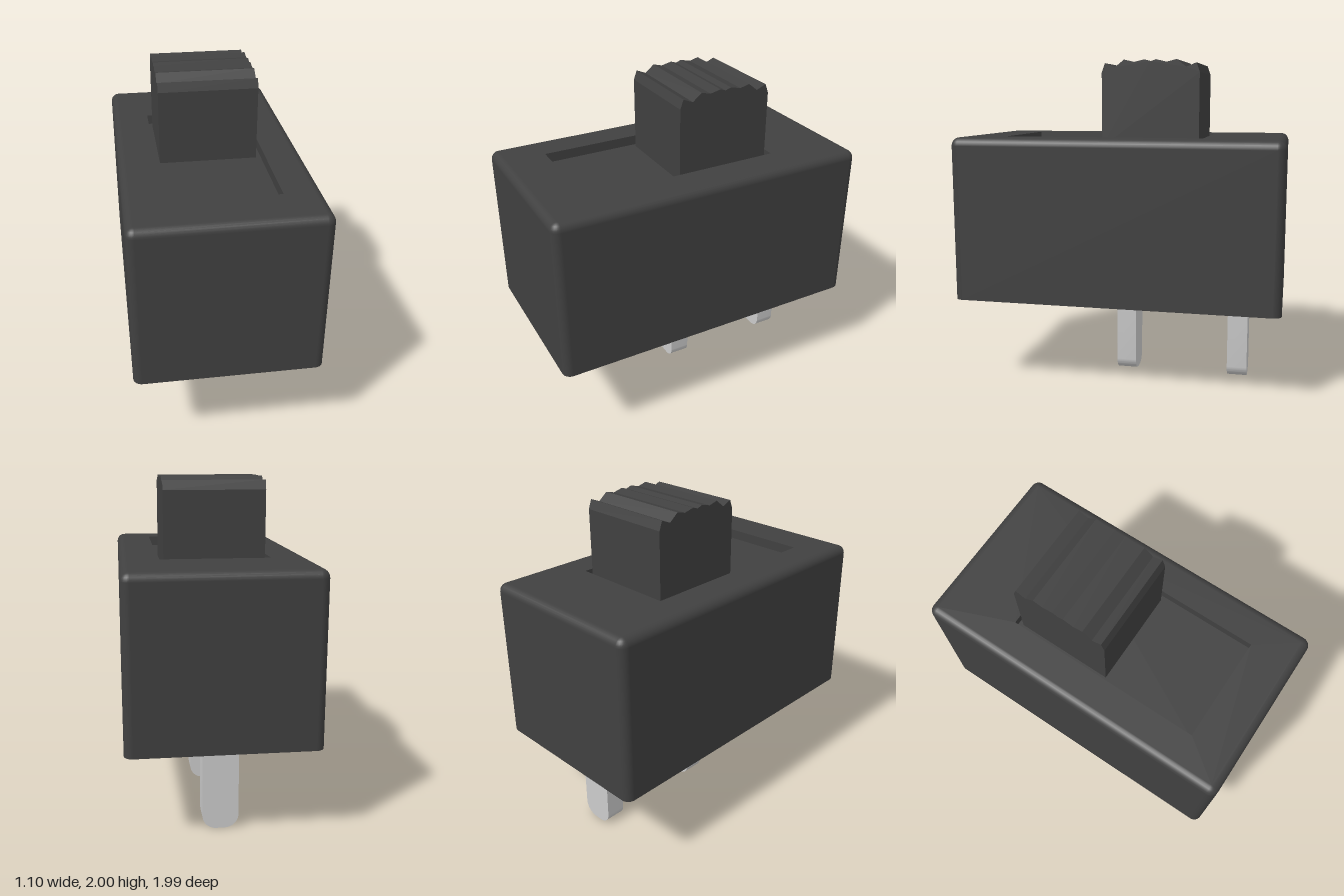
import * as THREE from 'three';
import { toCreasedNormals } from 'three/addons/utils/BufferGeometryUtils.js';

const HX = 0.55, HZ = 0.995, BOTTOM = 0.54, TOP = 1.54, R = 0.05;
const SLOT = { x: 0.325, z0: -0.51, z1: 0.71, depth: 0.06 };

// Side walls with rounded upright corners and a rounded top edge
function shellGeometry() {
  const seg = 6, rings = [[BOTTOM, 0]], pos = [], nor = [], idx = [];
  for (let j = 0; j <= seg; j++) {
    const p = (j / seg) * Math.PI / 2;
    rings.push([TOP - R + R * Math.sin(p), p]);
  }
  const corners = [[1, 1], [-1, 1], [-1, -1], [1, -1]];
  const cols = 4 * (seg + 1);
  for (const [y, p] of rings) {
    corners.forEach(([sx, sz], c) => {
      for (let i = 0; i <= seg; i++) {
        const t = (c + i / seg) * Math.PI / 2;
        const n = [Math.cos(p) * Math.cos(t), Math.sin(p), Math.cos(p) * Math.sin(t)];
        pos.push(sx * (HX - R) + R * n[0], y, sz * (HZ - R) + R * n[2]);
        nor.push(...n);
      }
    });
  }
  for (let j = 0; j < rings.length - 1; j++) {
    for (let i = 0; i < cols; i++) {
      const a = j * cols + i, b = j * cols + (i + 1) % cols;
      idx.push(a, a + cols, b, b, a + cols, b + cols);
    }
  }
  const g = new THREE.BufferGeometry();
  g.setAttribute('position', new THREE.Float32BufferAttribute(pos, 3));
  g.setAttribute('normal', new THREE.Float32BufferAttribute(nor, 3));
  g.setIndex(idx);
  return g;
}

const rect = (x0, x1, y0, y1) => [[x0, y0], [x1, y0], [x1, y1], [x0, y1]]
  .map(([x, y]) => new THREE.Vector2(x, y));

export function createModel() {
  const model = new THREE.Group();
  const dark = new THREE.MeshStandardMaterial({ color: 0x404040 });
  const grey = new THREE.MeshStandardMaterial({ color: 0xcccccc });
  const add = (name, geometry, material, parent = model) => {
    const mesh = new THREE.Mesh(geometry, material);
    mesh.name = name;
    parent.add(mesh);
    return mesh;
  };

  // Housing
  const housing = new THREE.Group();
  housing.name = 'housing';
  model.add(housing);
  add('housingWalls', shellGeometry(), dark, housing);

  const topShape = new THREE.Shape(rect(-HX + R, HX - R, -HZ + R, HZ - R));
  topShape.holes.push(new THREE.Path(rect(-SLOT.x, SLOT.x, -SLOT.z1, -SLOT.z0)));
  add('housingTop', new THREE.ShapeGeometry(topShape).rotateX(-Math.PI / 2).translate(0, TOP, 0), dark, housing);

  const base = new THREE.Shape();
  [[1, 1], [-1, 1], [-1, -1], [1, -1]].forEach(([sx, sy], c) =>
    base.absarc(sx * (HX - R), sy * (HZ - R), R, c * Math.PI / 2, (c + 1) * Math.PI / 2, false));
  add('housingBase', new THREE.ShapeGeometry(base, 6).rotateX(Math.PI / 2).translate(0, BOTTOM, 0), dark, housing);

  // Recessed slot the slider runs in: floor and four inward-facing walls
  const slotLength = SLOT.z1 - SLOT.z0, slotZ = (SLOT.z0 + SLOT.z1) / 2;
  add('slotFloor', new THREE.PlaneGeometry(2 * SLOT.x, slotLength).rotateX(-Math.PI / 2)
    .translate(0, TOP - SLOT.depth, slotZ), dark, housing);
  for (let i = 0; i < 4; i++) {
    const across = i % 2 === 0;
    const wall = new THREE.PlaneGeometry(across ? 2 * SLOT.x : slotLength, SLOT.depth)
      .translate(0, 0, across ? -slotLength / 2 : -SLOT.x)
      .rotateY(i * Math.PI / 2)
      .translate(0, TOP - SLOT.depth / 2, slotZ);
    add('slotWall', wall, dark, housing);
  }

  // Slider knob with a ridged thumb grip, symmetric about its middle
  const mid = -0.185, floorY = TOP - SLOT.depth;
  const half = [[0.295, floorY], [0.295, 1.925], [0.275, 1.98], [0.215, 1.955],
    [0.158, 2], [0.1, 1.985], [0.035, 2]];
  const profile = [
    ...half.map(([z, y]) => new THREE.Vector2(mid + z, y)),
    new THREE.Vector2(mid, 1.988),
    ...half.slice().reverse().map(([z, y]) => new THREE.Vector2(mid - z, y)),
  ];
  add('sliderKnob', new THREE.ExtrudeGeometry(new THREE.Shape(profile), { depth: 0.59, bevelEnabled: false })
    .rotateY(-Math.PI / 2).translate(0.295, 0, 0), dark);

  // Contact pins with rounded lower corners
  const w = 0.105, r = 0.08, thick = 0.125, pitch = 0.72;
  const pin = new THREE.Shape();
  pin.moveTo(w, BOTTOM + 0.01);
  pin.lineTo(-w, BOTTOM + 0.01);
  pin.lineTo(-w, r);
  pin.absarc(-w + r, r, r, Math.PI, 1.5 * Math.PI, false);
  pin.absarc(w - r, r, r, 1.5 * Math.PI, 2 * Math.PI, false);
  pin.closePath();
  const pinGeometry = toCreasedNormals(
    new THREE.ExtrudeGeometry(pin, { depth: thick, bevelEnabled: false, curveSegments: 8 })
      .translate(0, 0, -thick / 2), 0.6);
  for (const z of [0, -pitch]) add('contactPin', pinGeometry, grey).position.z = z;

  // Third contact, cut off flush with the base
  add('flushContact', new THREE.BoxGeometry(2 * w, 0.02, thick), grey).position.set(0, BOTTOM + 0.007, pitch);

  return model;
}
